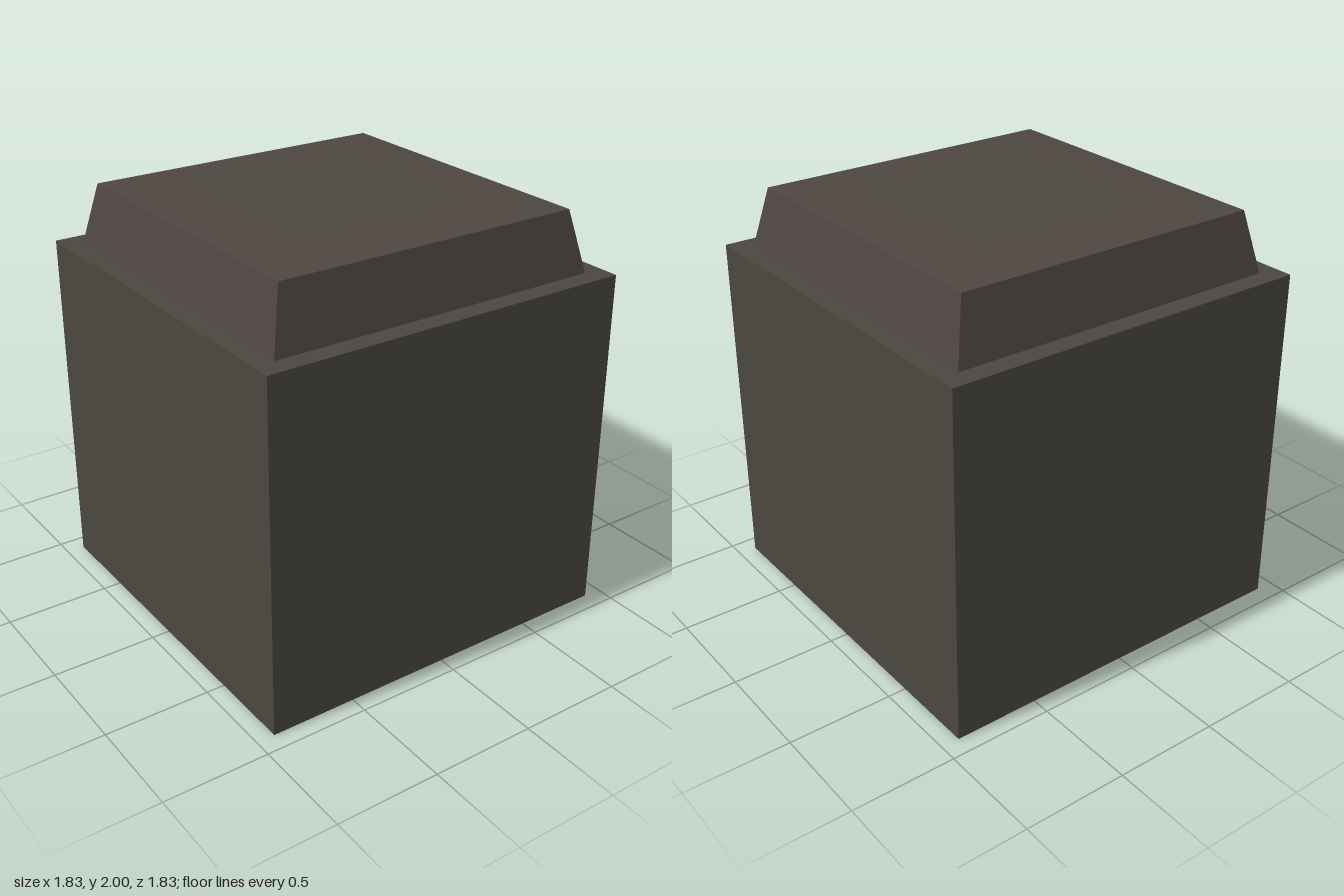
import * as THREE from 'three';

const bodyMaterial = new THREE.MeshStandardMaterial({ name: 'dark olive grey', color: 0x4b4740, side: THREE.DoubleSide, flatShading: true });
const capMaterial = new THREE.MeshStandardMaterial({ name: 'dark warm grey', color: 0x4e4641, side: THREE.DoubleSide, flatShading: true });

// Four-sided band between a lower and an upper square, given as [half width, height]
function band(name, [r0, y0], [r1, y1], material) {
  const corners = [[1, 1], [1, -1], [-1, -1], [-1, 1]];
  const points = [];
  for (let i = 0; i < 4; i++) {
    const [ax, az] = corners[i];
    const [bx, bz] = corners[(i + 1) % 4];
    const a = [ax * r0, y0, az * r0], b = [bx * r0, y0, bz * r0];
    const c = [bx * r1, y1, bz * r1], d = [ax * r1, y1, az * r1];
    points.push(...a, ...b, ...c, ...a, ...c, ...d);
  }
  const geometry = new THREE.BufferGeometry();
  geometry.setAttribute('position', new THREE.Float32BufferAttribute(points, 3));
  geometry.computeVertexNormals();
  const mesh = new THREE.Mesh(geometry, material);
  mesh.name = name;
  return mesh;
}

export function createModel() {
  const model = new THREE.Group();
  model.name = 'cappedBlock';

  // Hollow body, open underneath, with a narrow ledge around the cap
  model.add(band('bodyWalls', [0.913, 0], [0.913, 1.685], bodyMaterial));
  model.add(band('ledge', [0.913, 1.685], [0.818, 1.685], bodyMaterial));

  // Tapered cap with a shallow bevel
  model.add(band('capSides', [0.818, 1.685], [0.754, 1.975], capMaterial));
  model.add(band('capBevel', [0.754, 1.975], [0.45, 2], capMaterial));

  // Flat centre of the cap
  const top = new THREE.Mesh(new THREE.PlaneGeometry(0.9, 0.9), bodyMaterial);
  top.name = 'capTop';
  top.rotation.x = -Math.PI / 2;
  top.position.y = 2;
  model.add(top);

  return model;
}
